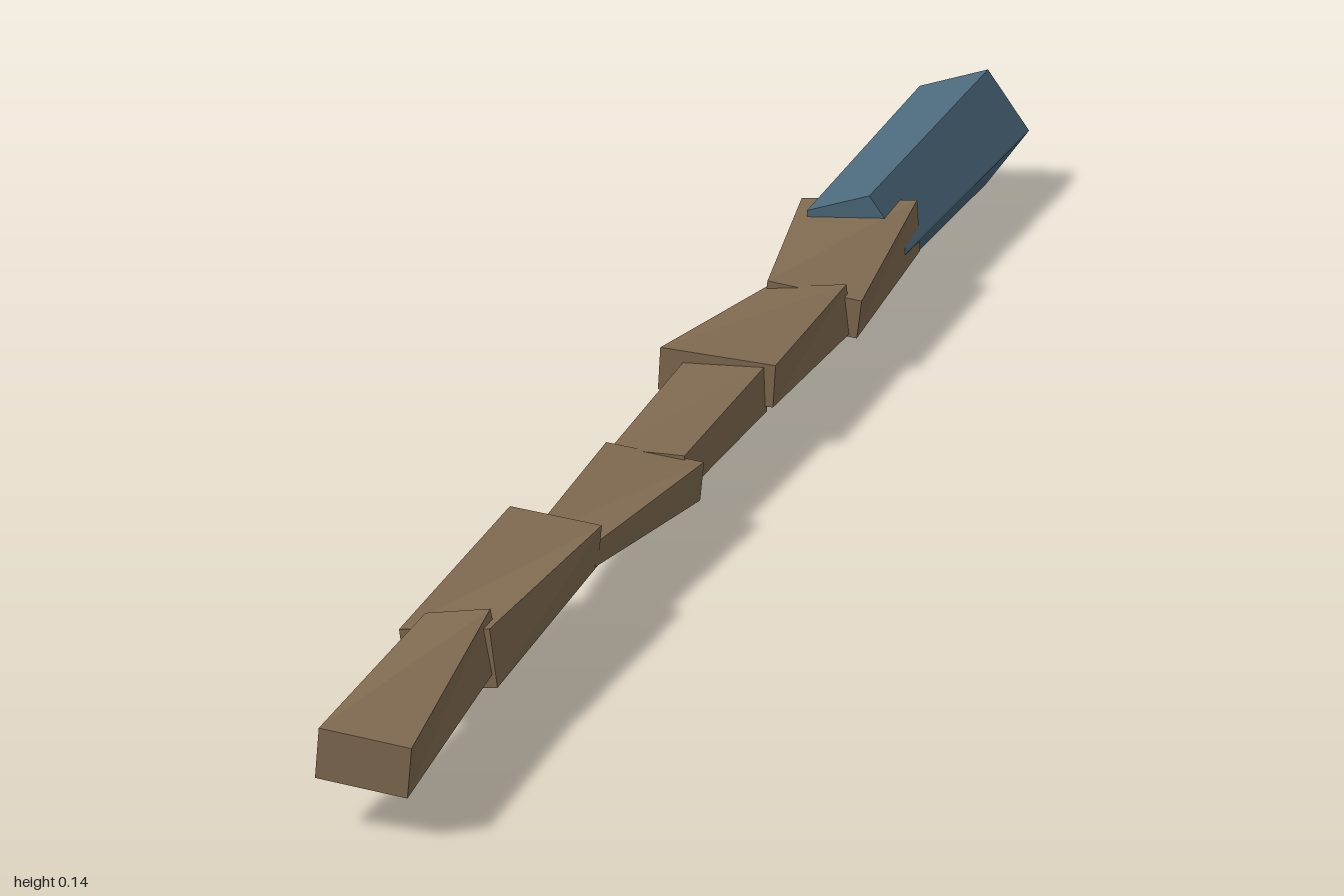
import * as THREE from 'three';

const wood = new THREE.MeshStandardMaterial({ color: 0x806a51, flatShading: true });
wood.name = 'brown wood';
const grip = new THREE.MeshStandardMaterial({ color: 0x4b6a7c, flatShading: true });
grip.name = 'slate blue';

// Twisted, tapered block between two rolled rectangles
// End: [z, centre x, centre y, width, height, roll]
function block(name, front, back) {
  const geo = new THREE.BoxGeometry(1, 1, 1).toNonIndexed();
  const p = geo.attributes.position;
  for (let i = 0; i < p.count; i++) {
    const [z, cx, cy, w, h, roll] = p.getZ(i) > 0 ? front : back;
    const x = p.getX(i) * w, y = p.getY(i) * h;
    const c = Math.cos(roll), s = Math.sin(roll);
    p.setXYZ(i, cx + x * c - y * s, cy + x * s + y * c, z);
  }
  geo.computeVertexNormals();
  const mesh = new THREE.Mesh(geo, wood);
  mesh.name = name;
  return mesh;
}

export function createModel() {
  const group = new THREE.Group();
  group.name = 'wand';

  // Pentagonal handle, wider at the butt
  const handleGeo = new THREE.CylinderGeometry(0.063, 0.0736, 0.5, 5);
  handleGeo.rotateX(Math.PI / 2);
  handleGeo.rotateZ(Math.PI / 2 + Math.PI);
  // Turn the single ridge towards +x
  handleGeo.computeBoundingBox();
  if (handleGeo.boundingBox.max.x < 0.07) handleGeo.rotateZ(Math.PI);
  const handle = new THREE.Mesh(handleGeo, grip);
  handle.name = 'handle';
  handle.position.set(0, 0.073, -0.75);
  group.add(handle);

  // Overlapping shaft pieces from tip to handle
  const pieces = [
    [[0.99, 0, 0.067, 0.083, 0.046, -0.1], [0.73, -0.005, 0.081, 0.062, 0.05, 0.18]],
    [[0.755, -0.01, 0.07, 0.085, 0.055, 0.12], [0.475, -0.008, 0.085, 0.09, 0.04, -0.1]],
    [[0.485, 0.002, 0.072, 0.066, 0.022, 0.05], [0.215, 0.004, 0.06, 0.1, 0.04, -0.1]],
    [[0.22, 0, 0.061, 0.075, 0.04, 0], [-0.035, 0, 0.065, 0.086, 0.048, 0.04]],
    [[-0.03, -0.008, 0.075, 0.122, 0.045, -0.06], [-0.295, 0.012, 0.067, 0.088, 0.052, 0.12]],
    [[-0.285, 0.018, 0.07, 0.104, 0.042, -0.12], [-0.565, -0.008, 0.079, 0.132, 0.058, 0.07]],
  ];
  pieces.forEach(([front, back], i) => group.add(block('shaftPiece' + (i + 1), front, back)));

  // Centre the length and rest the model on the ground
  const box = new THREE.Box3().setFromObject(group);
  group.children.forEach((m) => { m.position.y -= box.min.y; });
  return group;
}
